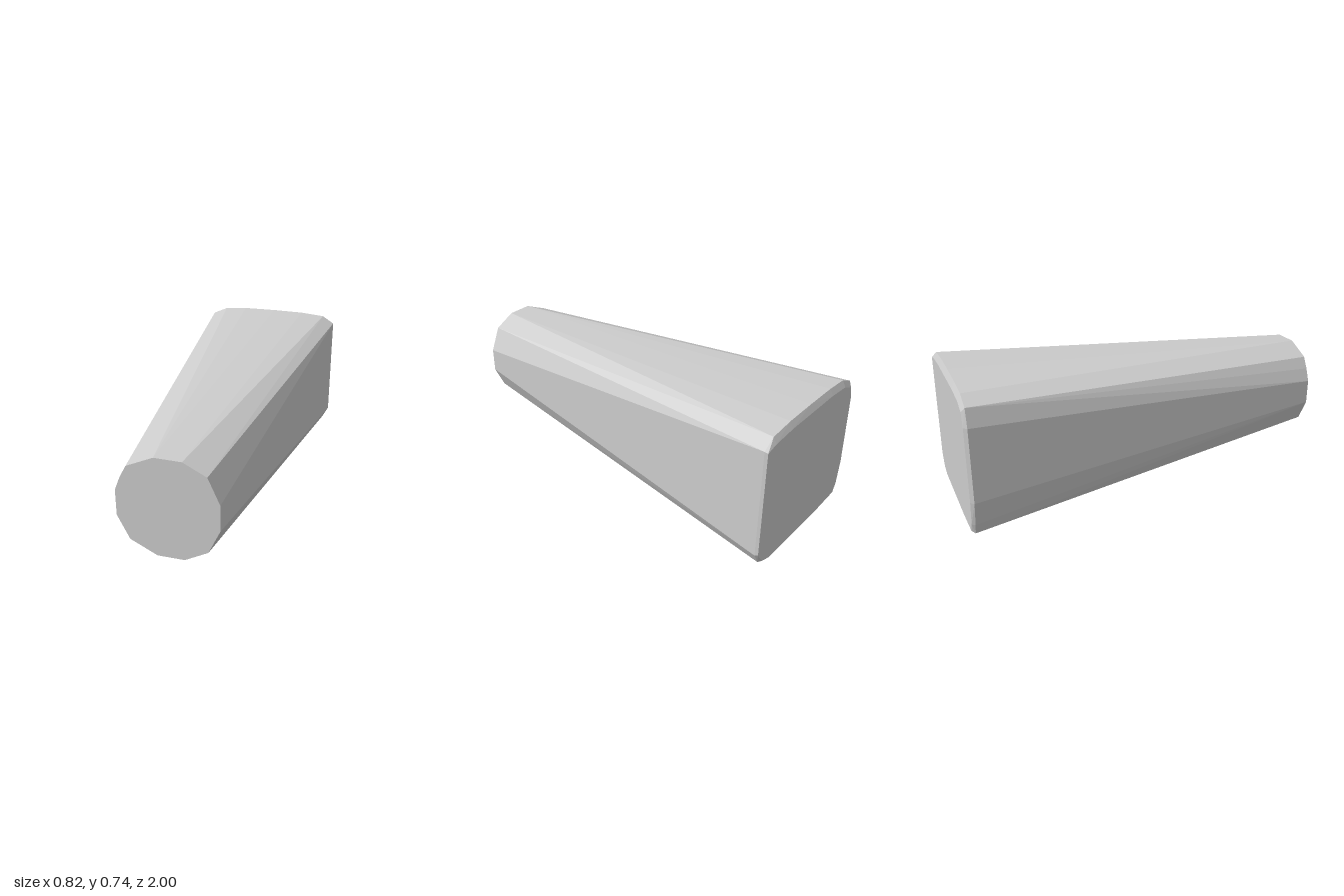
import * as THREE from 'three';
import { ConvexGeometry } from 'three/addons/geometries/ConvexGeometry.js';

// Outlines as [x, y], each placed at one depth
const nose = [
  [0.088, 0.645], [0.2, 0.588], [0.257, 0.46], [0.257, 0.33], [0.2, 0.207], [0.088, 0.146],
  [-0.043, 0.146], [-0.173, 0.211], [-0.232, 0.33], [-0.232, 0.46], [-0.205, 0.528],
  [-0.173, 0.588], [-0.043, 0.647],
];
const rim = [
  [0.2, 0.734], [0.34, 0.722], [0.408, 0.68], [0.408, 0.09], [0.375, 0.026], [0.31, 0.006],
  [0.2, 0.001], [-0.17, 0.001], [-0.363, 0.012], [-0.382, 0.07], [-0.408, 0.2], [-0.408, 0.59],
  [-0.385, 0.685], [-0.3, 0.724], [-0.17, 0.734], [0.02, 0.736],
];
const back = [
  [0.405, 0.675], [0.34, 0.69], [0.2, 0.7], [-0.17, 0.7], [-0.3, 0.69], [-0.37, 0.66],
  [-0.39, 0.59], [-0.39, 0.2], [-0.37, 0.07], [-0.345, 0.02], [-0.17, 0.01], [0.3, 0.012],
  [0.365, 0.035], [0.405, 0.1],
];

const ring = (outline, z) => outline.map(([x, y]) => new THREE.Vector3(x, y, z));

export function createModel() {
  const group = new THREE.Group();
  const grey = new THREE.MeshStandardMaterial({ color: 0xcccccc });
  grey.name = 'light grey';

  // Tapered faceted block: narrow round nose, wide square back with a thin bevel
  const geometry = new ConvexGeometry([...ring(nose, 1), ...ring(rim, -0.983), ...ring(back, -1)]);
  const body = new THREE.Mesh(geometry, grey);
  body.name = 'taperedBlock';
  group.add(body);
  return group;
}
